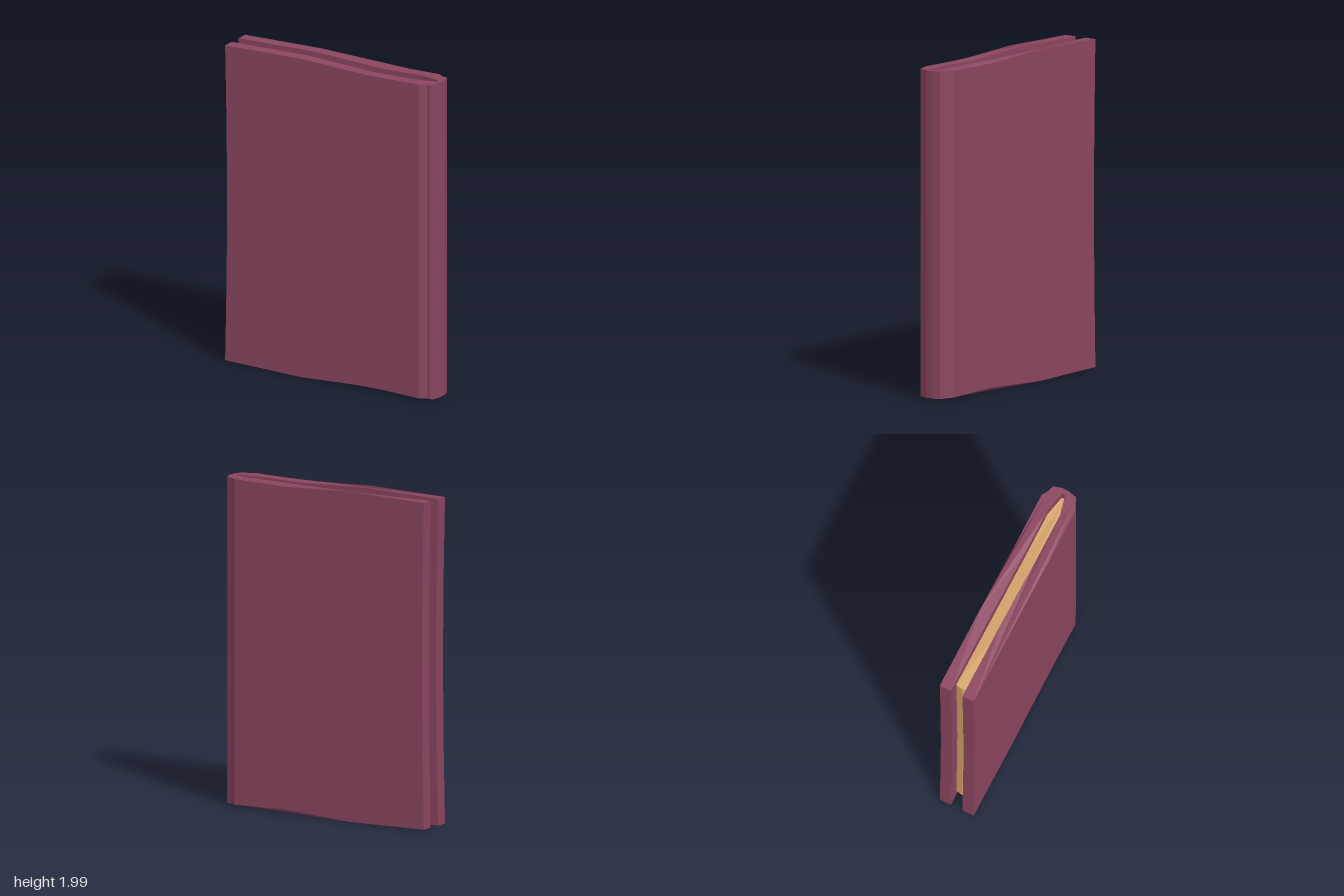
import * as THREE from 'three';

// piecewise-linear lookup through [u, value] pairs
function lerpTable(table, u) {
  if (u <= table[0][0]) return table[0][1];
  for (let i = 1; i < table.length; i++) {
    const [u0, v0] = table[i - 1], [u1, v1] = table[i];
    if (u <= u1) return v0 + (v1 - v0) * (u - u0) / (u1 - u0);
  }
  return table[table.length - 1][1];
}

// slightly warped upper and lower edges, from spine (-u) to fore edge (+u)
const topEdge = [[-0.74, 1.987], [-0.3, 1.979], [0.14, 2.0], [0.7, 1.989]];
const bottomEdge = [[-0.74, 0.017], [-0.28, 0.03], [0.18, 0.005], [0.7, 0.017]];

// extrude a [u, w] plan outline upwards, then warp it
function slab(name, outline, inset, material) {
  const shape = new THREE.Shape(outline.map(([u, w]) => new THREE.Vector2(u, -w)));
  const geo = new THREE.ExtrudeGeometry(shape, { depth: 1, steps: 4, bevelEnabled: false });
  geo.rotateX(-Math.PI / 2);
  const p = geo.attributes.position;
  for (let i = 0; i < p.count; i++) {
    const u = p.getX(i), t = p.getY(i);
    const lo = lerpTable(bottomEdge, u) + inset, hi = lerpTable(topEdge, u) - inset;
    p.setY(i, lo + (hi - lo) * t);
    // fore edge bows inwards halfway up
    if (u > 0.6) p.setX(i, u - 0.014 * Math.sin(Math.PI * t));
  }
  geo.computeVertexNormals();
  const mesh = new THREE.Mesh(geo, material);
  mesh.name = name;
  return mesh;
}

export function createModel() {
  const leather = new THREE.MeshStandardMaterial({ color: 0x8c4560 });
  leather.name = 'maroon leather';
  const paper = new THREE.MeshStandardMaterial({ color: 0xdaa86e });
  paper.name = 'tan paper';

  // both boards and the rounded spine as one folded outline
  const cover = [
    [0.697, -0.105], [0.17, -0.103], [-0.29, -0.101], [-0.65, -0.099],
    [-0.692, -0.072], [-0.707, -0.075], [-0.727, -0.062], [-0.741, -0.008],
    [-0.741, 0.041], [-0.727, 0.088], [-0.707, 0.096], [-0.69, 0.1], [-0.65, 0.125],
    [-0.29, 0.124], [0.17, 0.122], [0.697, 0.12],
    [0.697, 0.047], [0.17, 0.048], [-0.29, 0.049], [-0.58, 0.051],
    [-0.711, 0.022], [-0.711, 0.0],
    [-0.58, -0.03], [-0.29, -0.03], [0.17, -0.03], [0.697, -0.03],
  ];

  // page block filling the fold, recessed at top, bottom and fore edge
  const pages = [
    [0.625, -0.031], [0.17, -0.031], [-0.29, -0.031], [-0.58, -0.031],
    [-0.71, 0.0], [-0.71, 0.022],
    [-0.58, 0.052], [-0.29, 0.05], [0.17, 0.049], [0.625, 0.048], [0.636, 0.004],
  ];

  const book = new THREE.Group();
  book.name = 'book';
  book.add(slab('cover', cover, 0, leather), slab('pages', pages, 0.072, paper));
  book.rotation.y = THREE.MathUtils.degToRad(120);

  const model = new THREE.Group();
  model.name = 'closedBook';
  model.add(book);
  return model;
}
